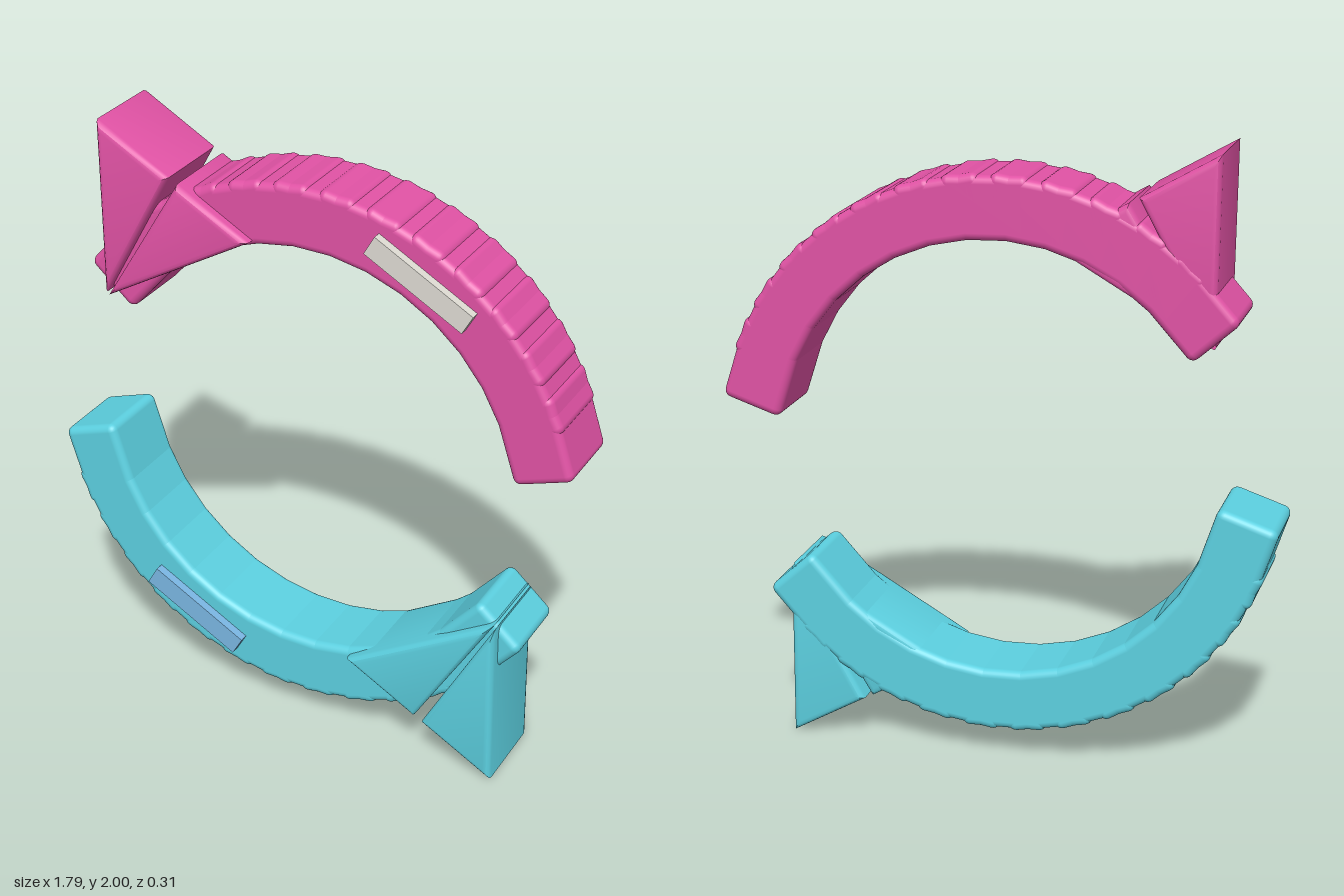
import * as THREE from 'three';
import { toCreasedNormals } from 'three/addons/utils/BufferGeometryUtils.js';
import { RoundedBoxGeometry } from 'three/addons/geometries/RoundedBoxGeometry.js';

const rad = THREE.MathUtils.degToRad;

function material(name, color) {
  const m = new THREE.MeshStandardMaterial({ color });
  m.name = name;
  return m;
}

// Triangular prism with bevelled rims; corners run counter-clockwise seen from the front.
function bevelledTriangle(corners, back, front, bevel) {
  const [a, b, c] = corners.map(([x, y]) => new THREE.Vector2(x, y));
  const la = b.distanceTo(c), lb = c.distanceTo(a), lc = a.distanceTo(b);
  const perimeter = la + lb + lc;
  const area = Math.abs((b.x - a.x) * (c.y - a.y) - (b.y - a.y) * (c.x - a.x)) / 2;
  const inradius = 2 * area / perimeter;
  const ix = (a.x * la + b.x * lb + c.x * lc) / perimeter;
  const iy = (a.y * la + b.y * lb + c.y * lc) / perimeter;

  // Rings from back to front as [inset, z], rounding both rims
  const rings = [];
  for (let i = 0; i <= 3; i++) {
    const t = i / 3 * Math.PI / 2;
    rings.push([bevel * (1 - Math.sin(t)), back + bevel * (1 - Math.cos(t))]);
  }
  for (let i = 3; i >= 0; i--) rings.push([rings[i][0], front + back - rings[i][1]]);

  const positions = [], index = [];
  for (const [inset, z] of rings) {
    const s = 1 - inset / inradius;
    for (const p of [a, b, c]) positions.push(ix + (p.x - ix) * s, iy + (p.y - iy) * s, z);
  }
  for (let r = 0; r < rings.length - 1; r++) {
    for (let k = 0; k < 3; k++) {
      const p = r * 3 + k, q = r * 3 + (k + 1) % 3;
      index.push(p, q, q + 3, p, q + 3, p + 3);
    }
  }
  const last = (rings.length - 1) * 3;
  index.push(0, 2, 1, last, last + 1, last + 2);

  const g = new THREE.BufferGeometry();
  g.setAttribute('position', new THREE.Float32BufferAttribute(positions, 3));
  g.setIndex(index);
  return toCreasedNormals(g, rad(40));
}

// One curved arrow, centred on its arc
function curvedArrow(name, body, plate) {
  const arrow = new THREE.Group();
  arrow.name = name;

  // Arc of overlapping rounded blocks
  const arc = new THREE.Group();
  arc.name = 'arc';
  const block = new RoundedBoxGeometry(0.2, 0.28, 0.27, 3, 0.025);
  for (let angle = 18; angle <= 138; angle += 10) {
    const m = new THREE.Mesh(block, body);
    m.name = 'arcBlock';
    m.position.set(0.8 * Math.cos(rad(angle)), 0.8 * Math.sin(rad(angle)), -0.02);
    m.rotation.z = rad(angle);
    arc.add(m);
  }
  arrow.add(arc);

  // Arrowhead made of two wedges
  const wedges = {
    outerWedge: [[-0.69, 1.0], [-0.685, 0.42], [-0.443, 0.857]],
    innerWedge: [[-0.68, 0.41], [-0.17, 0.70], [-0.415, 0.842]],
  };
  for (const [wedgeName, corners] of Object.entries(wedges)) {
    const m = new THREE.Mesh(bevelledTriangle(corners, -0.152, 0.155, 0.022), body);
    m.name = wedgeName;
    arrow.add(m);
  }

  // Raised bar on the front of the arc
  const bar = new THREE.Mesh(new THREE.BoxGeometry(0.37, 0.07, 0.045), plate);
  bar.name = 'accentBar';
  bar.position.set(0.396, 0.692, 0.122);
  bar.rotation.z = rad(-30);
  arrow.add(bar);

  arrow.position.y = 1;
  return arrow;
}

export function createModel() {
  const model = new THREE.Group();
  model.name = 'cycleArrows';

  const upper = curvedArrow('upperArrow', material('pink', 0xe052a4), material('paleGrey', 0xdedbd3));
  const lower = curvedArrow('lowerArrow', material('turquoise', 0x5cd0e0), material('blue', 0x7ab6e2));
  lower.rotation.z = Math.PI;

  model.add(upper, lower);
  return model;
}
